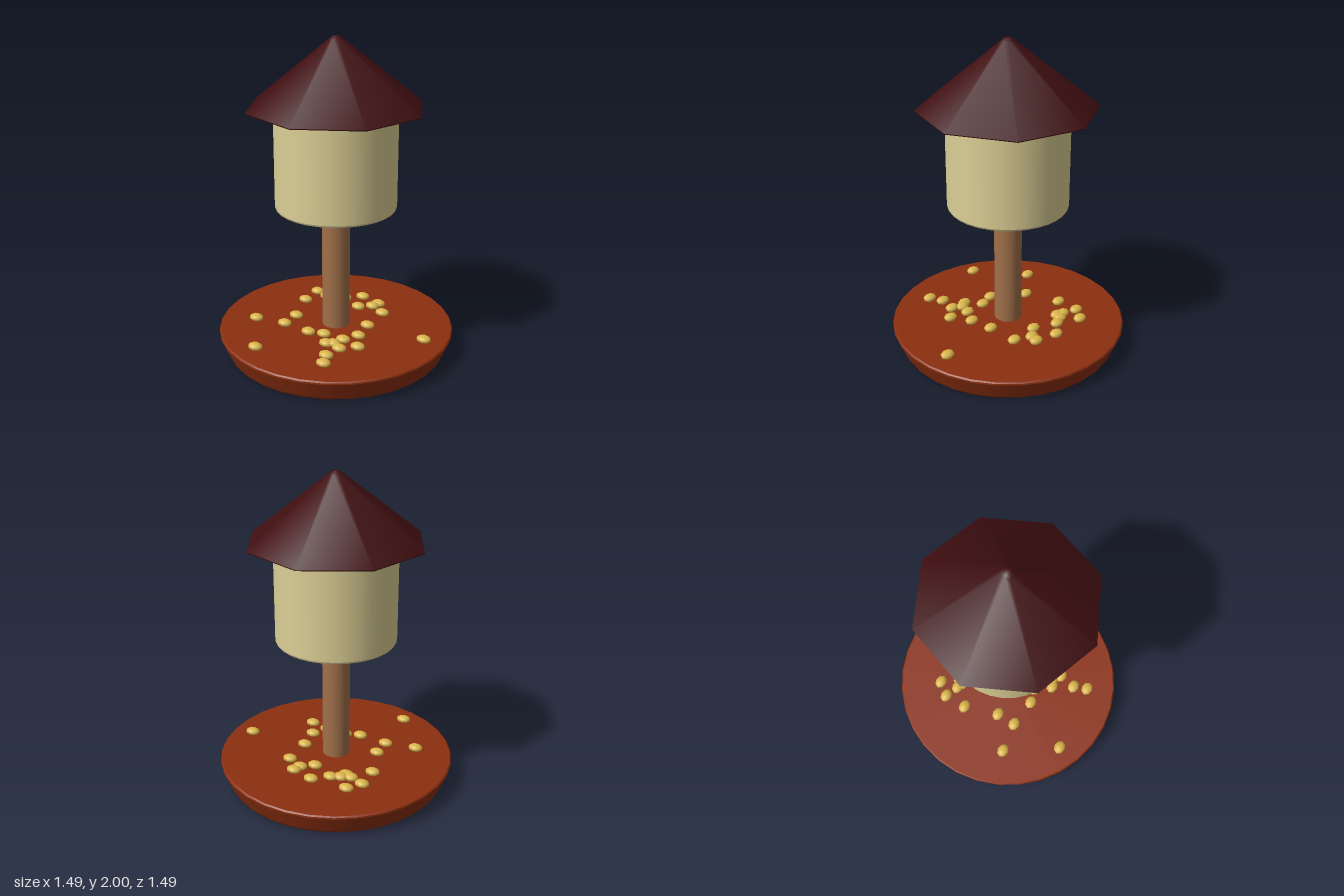
import * as THREE from 'three';

const material = (name, color) => {
  const m = new THREE.MeshStandardMaterial({ color });
  m.name = name;
  return m;
};

// Lathe a profile; every listed point is doubled when crisp edges are wanted.
function turned(name, profile, sides, mat, crisp = true) {
  const points = [];
  profile.forEach(([r, y], i) => {
    points.push(new THREE.Vector2(r, y));
    if (crisp && i > 0 && i < profile.length - 1) points.push(new THREE.Vector2(r, y));
  });
  const mesh = new THREE.Mesh(new THREE.LatheGeometry(points, sides), mat);
  mesh.name = name;
  return mesh;
}

export function createModel() {
  const model = new THREE.Group();
  model.name = 'birdFeeder';

  const terracotta = material('terracotta', 0x8b2f0f);
  const wood = material('wood', 0xa0704a);
  const cream = material('cream', 0xdccf95);
  const darkRed = material('dark red', 0x3f0e11);
  const grain = material('grain', 0xdab54a);

  // Shallow tray with a flared, bevelled rim
  model.add(turned('tray', [
    [0, 0], [0.672, 0], [0.688, 0.008], [0.697, 0.022],
    [0.744, 0.135], [0.743, 0.145], [0.735, 0.152], [0, 0.152],
  ], 32, terracotta));

  // Post between tray and house
  const post = new THREE.Mesh(new THREE.CylinderGeometry(0.087, 0.087, 0.82, 24), wood);
  post.name = 'post';
  post.position.y = 0.55;
  model.add(post);

  // Round house with softened edges
  model.add(turned('house', [
    [0, 0.945], [0.36, 0.945], [0.37, 0.949], [0.375, 0.96],
    [0.375, 1.555], [0.37, 1.566], [0.36, 1.57], [0, 1.57],
  ], 32, cream));

  // Eight-sided roof with a blunt tip and flat underside
  model.add(turned('roof', [
    [0, 1.568], [0.548, 1.568], [0.55, 1.574],
    [0.036, 1.984], [0.018, 1.996], [0, 2],
  ], 8, darkRed));

  // Seeds scattered on the tray: [x, z]
  const spots = [
    [0.6, -0.02], [-0.47, 0.21], [-0.27, 0.54], [0.19, 0.52],
    [-0.32, -0.17], [-0.26, 0.06], [-0.27, 0.19], [-0.08, 0.22],
    [0.02, 0.2], [0.09, 0.3], [0.13, 0.28], [0.16, 0.43],
    [0.19, 0.32], [0.16, 0.21], [0.22, 0.12], [0.28, 0.25],
    [0.21, -0.03], [0.04, -0.24], [0.12, -0.29], [0.14, -0.34],
    [0.22, -0.23], [0, -0.39], [-0.1, -0.32], [-0.31, -0.32],
    [-0.16, -0.3], [-0.24, -0.4], [-0.22, -0.28], [-0.18, -0.26],
  ];
  const seedShape = new THREE.SphereGeometry(1, 8, 6);
  const seeds = new THREE.Group();
  seeds.name = 'seeds';
  for (const [x, z] of spots) {
    const seed = new THREE.Mesh(seedShape, grain);
    seed.name = 'seed';
    seed.scale.set(0.048, 0.025, 0.038);
    seed.position.set(x, 0.17, z);
    seeds.add(seed);
  }
  model.add(seeds);

  return model;
}
